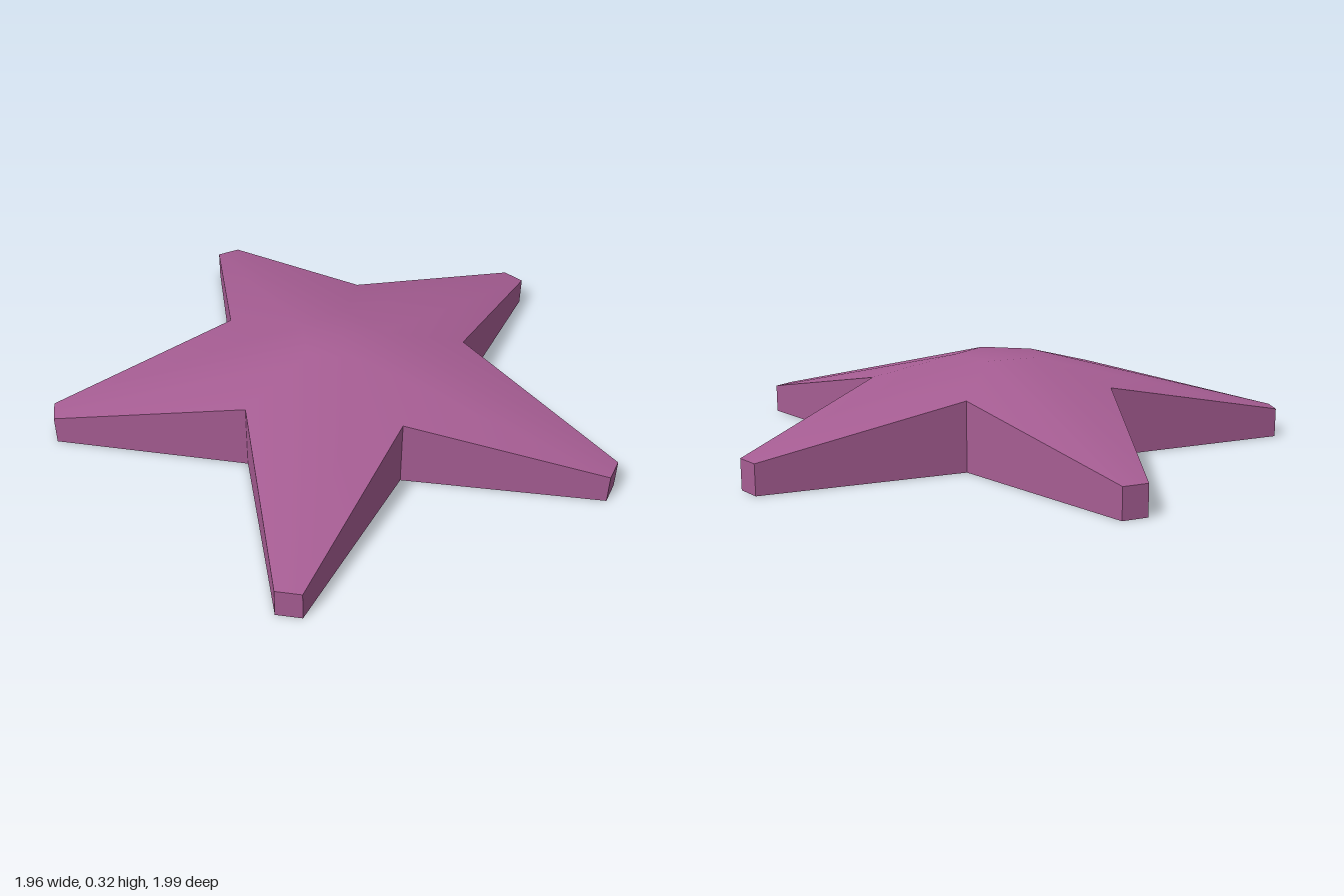
import * as THREE from 'three';
import { toCreasedNormals } from 'three/addons/utils/BufferGeometryUtils.js';

const CX = 0.058, CZ = 0.028; // hub of the star
const STEP = (Math.PI * 2) / 5;
const START = 0.103; // direction of the first notch

// Point at polar position around the hub, with an optional sideways offset
function polar(angle, radius, y, side = 0) {
  const c = Math.cos(angle), s = Math.sin(angle);
  return [CX + c * radius - s * side, y, CZ + s * radius + c * side];
}

function buildGeometry(addFaces) {
  const positions = [];
  const tri = (a, b, c) => positions.push(...a, ...b, ...c);
  const quad = (a, b, c, d) => { tri(a, b, c); tri(a, c, d); };
  addFaces(tri, quad);
  const geometry = new THREE.BufferGeometry();
  geometry.setAttribute('position', new THREE.Float32BufferAttribute(positions, 3));
  return toCreasedNormals(geometry, Math.PI / 6);
}

export function createModel() {
  const group = new THREE.Group();
  group.name = 'starfish';
  const mauve = new THREE.MeshStandardMaterial({ color: 0xa65d93 });
  mauve.name = 'mauve';

  const floor = (p) => [p[0], 0, p[2]];
  const arms = Array.from({ length: 5 }, (_, k) => {
    const a = START + k * STEP, b = a + STEP, mid = a + STEP / 2;
    return {
      hub: [polar(a, 0.16, 0.325), polar(b, 0.16, 0.325)],
      notch: [polar(a, 0.459, 0.245), polar(b, 0.459, 0.245)],
      tip: [polar(mid, 1.038, 0.105, -0.044), polar(mid, 1.038, 0.105, 0.044)],
    };
  });

  // Softly sloping upper skin
  const top = buildGeometry((tri, quad) => {
    for (const { hub, notch, tip } of arms) {
      tri([CX, 0.325, CZ], hub[1], hub[0]);
      quad(tip[1], tip[0], hub[0], hub[1]);
      tri(tip[0], notch[0], hub[0]);
      tri(notch[1], tip[1], hub[1]);
    }
  });

  // Upright rim around the arms
  const rim = buildGeometry((tri, quad) => {
    for (const { notch, tip } of arms) {
      const outline = [notch[0], tip[0], tip[1], notch[1]];
      for (let i = 0; i < 3; i++) {
        const p = outline[i], q = outline[i + 1];
        quad(p, q, floor(q), floor(p));
      }
    }
  });

  // Flat underside
  const base = buildGeometry((tri) => {
    for (const { notch, tip } of arms) {
      const outline = [notch[0], tip[0], tip[1], notch[1]].map(floor);
      for (let i = 0; i < 3; i++) tri([CX, 0, CZ], outline[i], outline[i + 1]);
    }
  });

  for (const [name, geometry] of Object.entries({ upperSkin: top, sideRim: rim, underside: base })) {
    const mesh = new THREE.Mesh(geometry, mauve);
    mesh.name = name;
    group.add(mesh);
  }
  return group;
}
